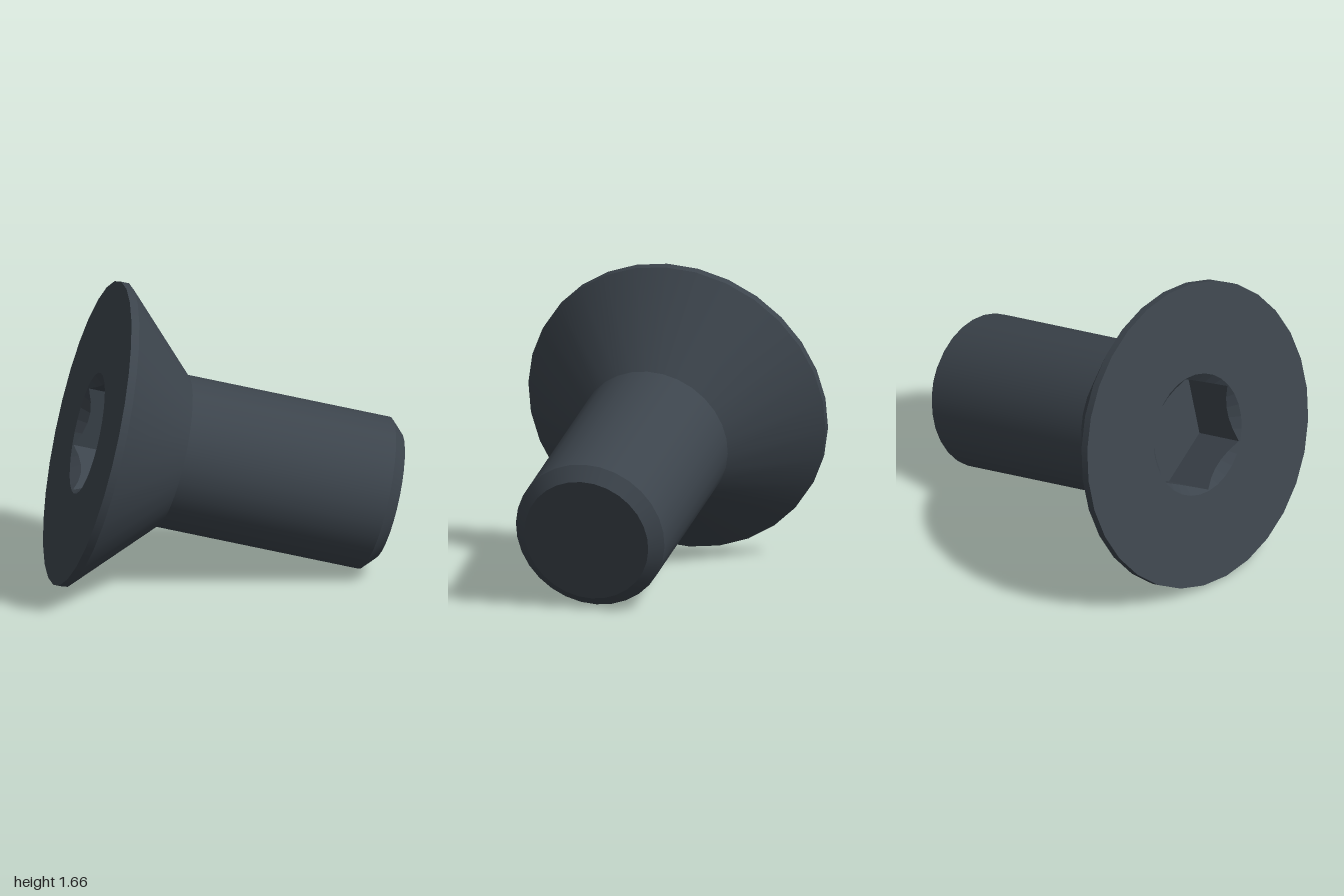
import * as THREE from 'three';

const SEGMENTS = 30;
const HEAD_R = 0.85, SHAFT_R = 0.425, TIP_R = 0.354;
const RIM_R = 0.338, HEX_R = 0.332, SOCKET_DEPTH = 0.31;

// Hexagonal recess: floor, six walls and a conical lead-in meeting a round rim
function socketGeometry() {
  const apothem = HEX_R * Math.cos(Math.PI / 6);
  const point = (i, j) => {
    const a = (i / SEGMENTS) * Math.PI * 2;
    const hex = apothem / Math.cos((a % (Math.PI / 3)) - Math.PI / 6);
    const r = [0, hex, hex, RIM_R][j];
    const y = [SOCKET_DEPTH, SOCKET_DEPTH, RIM_R - hex, 0][j];
    return [r * Math.sin(a), y, r * Math.cos(a)];
  };
  const positions = [];
  for (let i = 0; i < SEGMENTS; i++) {
    const n = (i + 1) % SEGMENTS;
    for (let j = 0; j < 3; j++) {
      const a = point(i, j), b = point(n, j), c = point(n, j + 1), d = point(i, j + 1);
      if (j > 0) positions.push(...a, ...b, ...d);
      positions.push(...c, ...d, ...b);
    }
  }
  const geometry = new THREE.BufferGeometry();
  geometry.setAttribute('position', new THREE.Float32BufferAttribute(positions, 3));
  geometry.computeVertexNormals();
  return geometry;
}

export function createModel() {
  const steel = new THREE.MeshStandardMaterial({ color: 0x3c444c });
  steel.name = 'dark steel';

  const screw = new THREE.Group();
  screw.name = 'countersunkScrew';
  const add = (name, geometry) => {
    const mesh = new THREE.Mesh(geometry, steel);
    mesh.name = name;
    screw.add(mesh);
  };

  // Turned surfaces, one per band so that the edges between them stay sharp
  const bands = [
    ['headFace', RIM_R, 0, HEAD_R, 0],
    ['headRim', HEAD_R, 0, HEAD_R, 0.045],
    ['headCone', HEAD_R, 0.045, SHAFT_R, 0.475],
    ['shaft', SHAFT_R, 0.475, SHAFT_R, 1.633],
    ['tipChamfer', SHAFT_R, 1.633, TIP_R, 1.704],
    ['tipFace', TIP_R, 1.704, 0, 1.704],
  ];
  for (const [name, r0, y0, r1, y1] of bands) {
    const profile = [new THREE.Vector2(r0, y0), new THREE.Vector2(r1, y1)];
    add(name, new THREE.LatheGeometry(profile, SEGMENTS));
  }
  add('hexSocket', socketGeometry());

  // Tilt the screw: its length runs along "axis", a hexagon corner points up
  const axis = new THREE.Vector3(1, -0.268, 0.211).normalize();
  const up = new THREE.Vector3(0, 1, 0).addScaledVector(axis, -axis.y).normalize();
  const side = new THREE.Vector3().crossVectors(axis, up);
  screw.quaternion.setFromRotationMatrix(new THREE.Matrix4().makeBasis(side, axis, up));
  screw.position.set(-0.725, 0.832, 0);

  const model = new THREE.Group();
  model.name = 'model';
  model.add(screw);
  return model;
}
